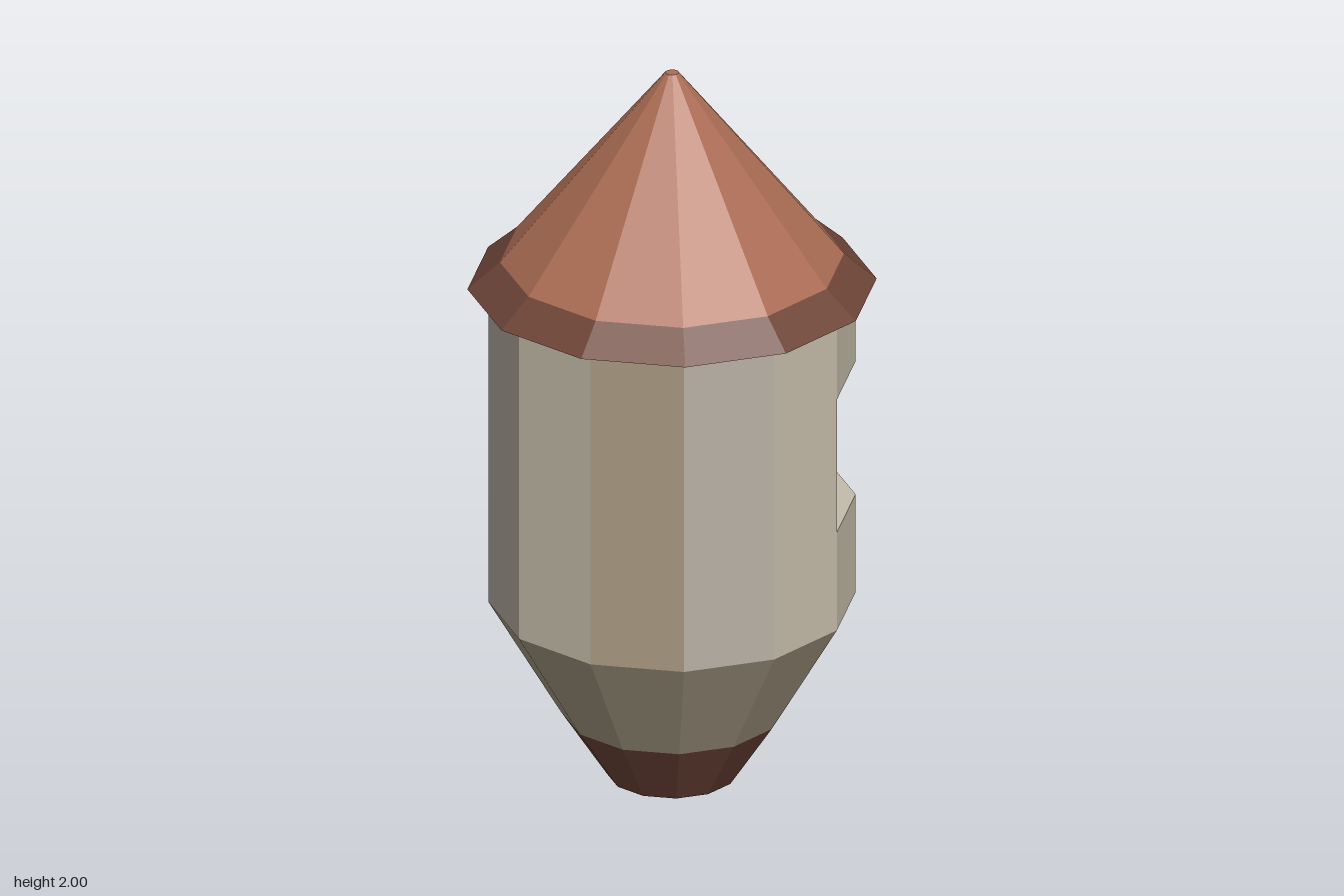
import * as THREE from 'three';

const SIDES = 12;
const STEP = (Math.PI * 2) / SIDES;
const R_OUT = 0.48, R_IN = 0.37;
const WALL_LOW = 0.5, WALL_TOP = 1.395;
const SILL = 0.78, LINTEL = 1.16;

function mat(name, color) {
  const m = new THREE.MeshStandardMaterial({ color });
  m.name = name;
  return m;
}

// One thick wall block: a slice of the twelve-sided ring between two heights
function wallBlock(i, y0, y1) {
  const p = (r, k) => new THREE.Vector2(Math.sin(k * STEP) * r, -Math.cos(k * STEP) * r);
  const shape = new THREE.Shape([p(R_IN, i), p(R_OUT, i), p(R_OUT, i + 1), p(R_IN, i + 1)]);
  const g = new THREE.ExtrudeGeometry(shape, { depth: y1 - y0, bevelEnabled: false });
  g.rotateX(-Math.PI / 2);
  g.translate(0, y0, 0);
  return g;
}

// Faceted tapered ring with closed ends
function taper(rTop, rBottom, y0, y1) {
  const g = new THREE.CylinderGeometry(rTop, rBottom, y1 - y0, SIDES).toNonIndexed();
  g.translate(0, (y0 + y1) / 2, 0);
  g.computeVertexNormals();
  return g;
}

export function createModel() {
  const group = new THREE.Group();
  group.name = 'turret';

  const paleStone = mat('pale stone', 0xc4bcaa);
  const tanStone = mat('tan stone', 0xa99a82);
  const greyStone = mat('grey stone', 0xb8b0a4);
  const baseStone = mat('base stone', 0xa79b84);
  const tile = mat('roof tile', 0xac6d55);
  const trim = mat('dark trim', 0x6f4538);

  const add = (name, geometry, material, parent = group) => {
    const mesh = new THREE.Mesh(geometry, material);
    mesh.name = name;
    parent.add(mesh);
  };

  // Wall ring in three repeating stone tones, with a window across two sides facing +x
  const walls = new THREE.Group();
  walls.name = 'walls';
  group.add(walls);
  const tones = [greyStone, paleStone, tanStone];
  for (let i = 0; i < SIDES; i++) {
    if (i === 2 || i === 3) {
      add('wallBelowWindow', wallBlock(i, WALL_LOW, SILL), paleStone, walls);
      add('wallAboveWindow', wallBlock(i, LINTEL, WALL_TOP), paleStone, walls);
    } else {
      add('wallPanel', wallBlock(i, WALL_LOW, WALL_TOP), tones[i % 3], walls);
    }
  }

  // Tapered underside and its dark tip
  add('corbel', taper(R_OUT, 0.29, 0.18, WALL_LOW), baseStone);
  add('corbelTip', taper(0.29, 0.17, 0, 0.18), trim);

  // Roof
  add('eave', taper(0.45, 0.535, WALL_TOP, 1.47), trim);
  add('roofCone', taper(0.018, 0.45, 1.47, 2), tile);

  return group;
}
